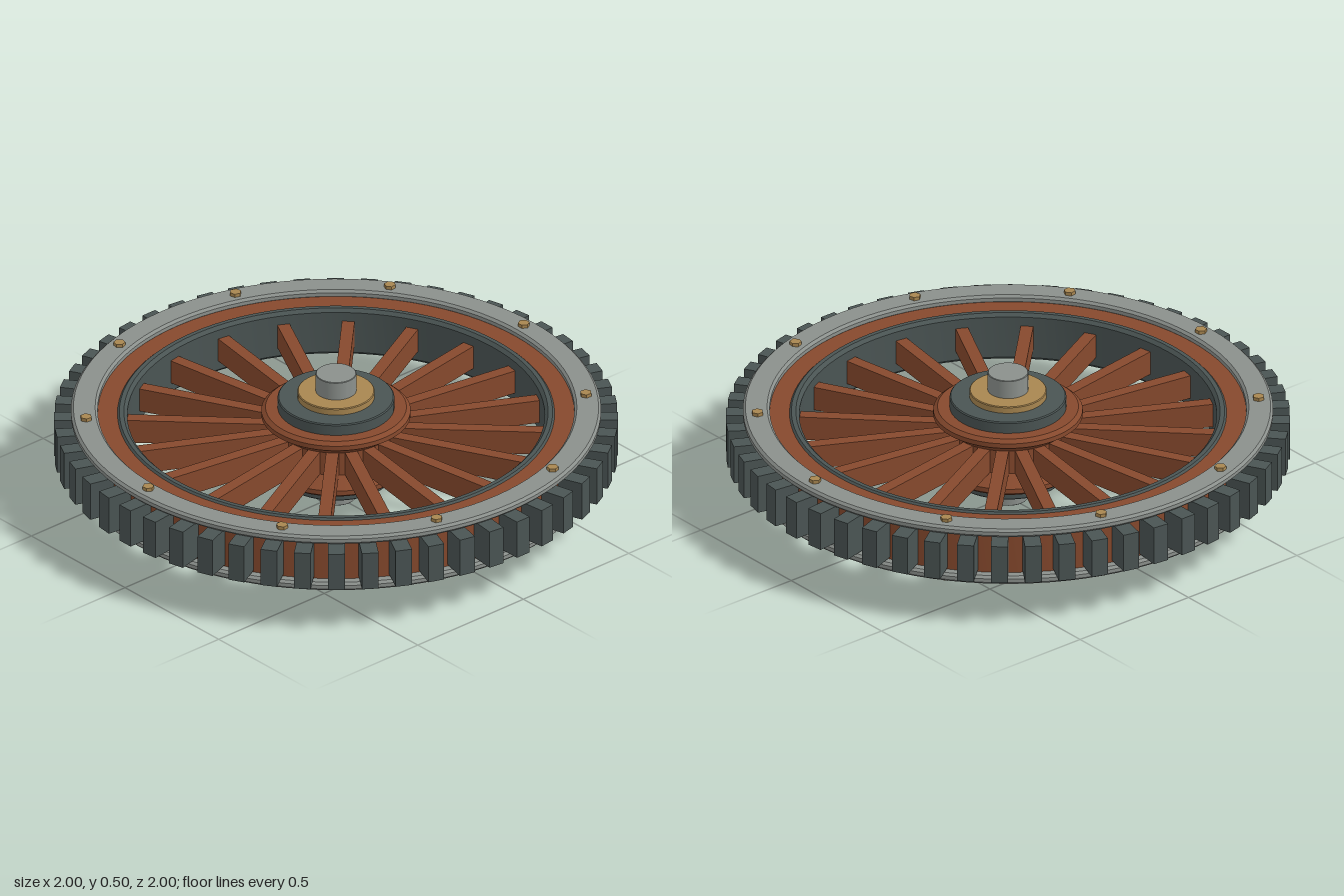
import * as THREE from 'three';
import { toCreasedNormals } from 'three/addons/utils/BufferGeometryUtils.js';

const mat = (name, color) => {
  const m = new THREE.MeshStandardMaterial({ color });
  m.name = name;
  return m;
};

const MID = 0.25; // height of the wheel's mid-plane

export function createModel() {
  const wood = mat('wood', 0x86492d);
  const iron = mat('dark iron', 0x4a5453);
  const steel = mat('steel', 0x8b908c);
  const brass = mat('brass', 0xa88650);

  const wheel = new THREE.Group();
  wheel.name = 'wheel';

  const add = (name, geometry, material, parent = wheel) => {
    const mesh = new THREE.Mesh(geometry, material);
    mesh.name = name;
    parent.add(mesh);
    return mesh;
  };

  // Profiles run outer side up, across the top, then back down
  const turned = (points, segments = 96) => toCreasedNormals(
    new THREE.LatheGeometry(points.map(([r, y]) => new THREE.Vector2(r, y)), segments), 0.5);

  // Ring of rectangular section with chamfered edges
  const ring = (inner, outer, y0, y1, c) => turned([
    [outer - c, y0], [outer, y0 + c], [outer, y1 - c], [outer - c, y1],
    [inner + c, y1], [inner, y1 - c], [inner, y0 + c], [inner + c, y0], [outer - c, y0],
  ]);

  // Repeat a part around the axle
  const around = (name, count, offset, build) => {
    const group = new THREE.Group();
    group.name = name;
    for (let i = 0; i < count; i++) {
      const arm = new THREE.Group();
      arm.rotation.y = offset + (i / count) * Math.PI * 2;
      build(arm);
      group.add(arm);
    }
    wheel.add(group);
  };

  // Rim: wooden felloe, iron lining and a steel band on each face
  add('woodenRim', ring(0.765, 0.905, 0.165, 0.335, 0.003), wood);
  add('rimLining', ring(0.74, 0.78, 0.158, 0.342, 0.012), iron);
  add('upperBand', ring(0.845, 0.94, 0.328, 0.36, 0.009), steel);
  add('lowerBand', ring(0.845, 0.94, 0.14, 0.172, 0.009), steel);

  // Gear teeth around the rim
  const tooth = new THREE.BoxGeometry(0.12, 0.145, 0.06);
  around('teeth', 52, 0, (arm) => {
    add('tooth', tooth, iron, arm).position.set(0.94, MID + 0.002, 0);
  });

  // Spokes
  const spoke = new THREE.BoxGeometry(0.56, 0.09, 0.045);
  around('spokes', 20, Math.PI / 20, (arm) => {
    add('spoke', spoke, wood, arm).position.set(0.475, MID, 0);
  });

  // Hex bolts on both bands
  const bolt = new THREE.CylinderGeometry(0.021, 0.021, 0.02, 6).toNonIndexed();
  bolt.computeVertexNormals();
  around('bolts', 10, 0, (arm) => {
    for (const side of [1, -1]) {
      add('bolt', bolt, brass, arm).position.set(0.89, MID + side * 0.113, 0);
    }
  });

  // Waisted hub with a flange at either end
  add('hub', turned([
    [0, 0.138], [0.25, 0.138], [0.265, 0.15], [0.265, 0.168], [0.24, 0.185], [0.215, 0.205],
    [0.215, 0.295], [0.24, 0.315], [0.265, 0.332], [0.265, 0.35], [0.25, 0.362], [0, 0.362],
  ], 64), wood);

  // Stepped collars and axle through the hub
  const disc = (r, half, c) => turned([
    [0, MID - half], [r - c, MID - half], [r, MID - half + c],
    [r, MID + half - c], [r - c, MID + half], [0, MID + half],
  ], 48);
  add('ironCollar', disc(0.207, 0.155, 0.004), iron);
  add('brassBushing', disc(0.137, 0.18, 0.003), brass);
  add('axle', disc(0.072, 0.25, 0.002), steel);

  return wheel;
}
